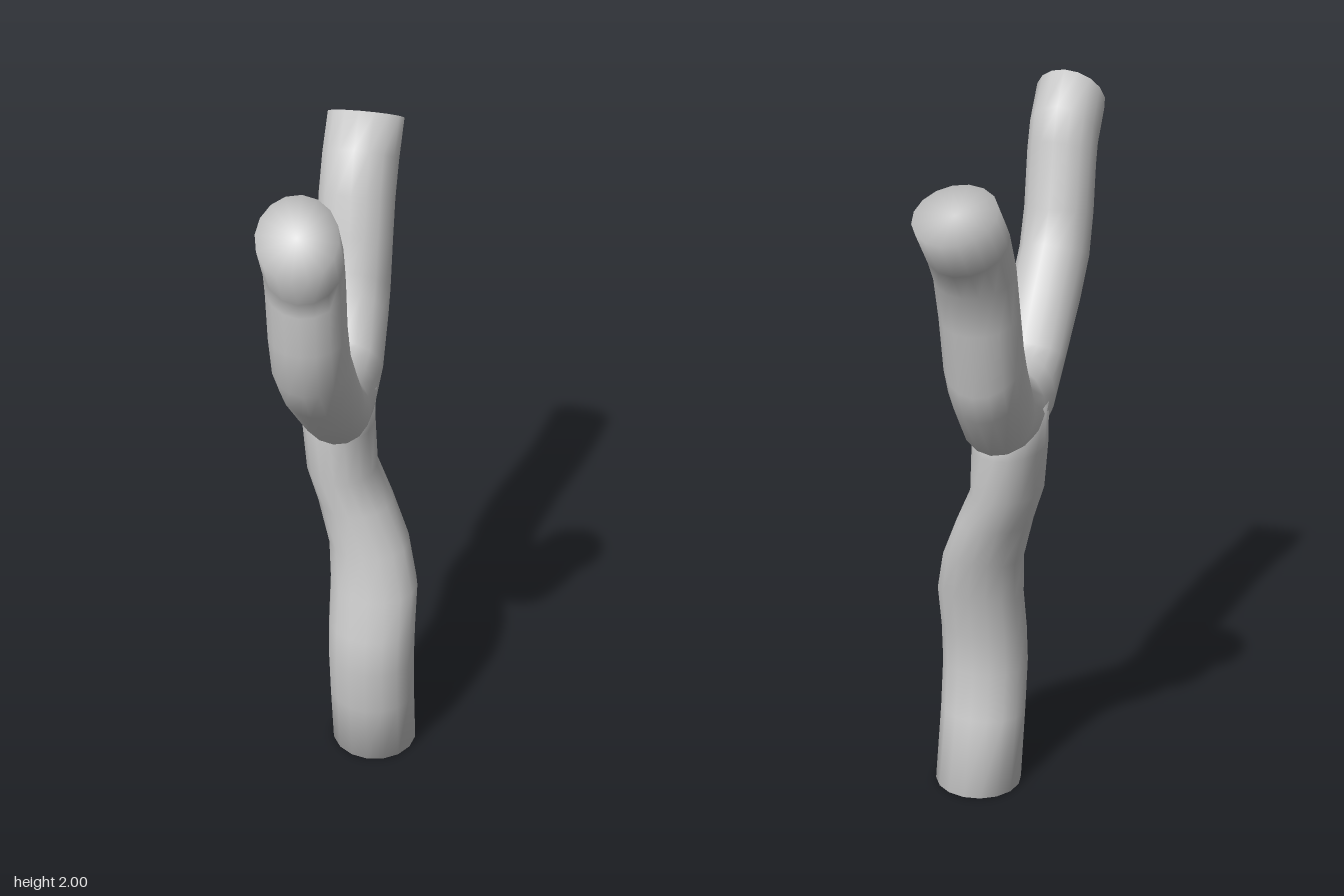
import * as THREE from 'three';

const SIDES = 16;

// Closed smooth limb swept through elliptical rings.
// Each ring: [z, y of one edge, z, y of the opposite edge, centre x, half width in x]
function limb(name, rings, material) {
  const pos = [], index = [];
  for (const [z0, y0, z1, y1, xc, rx] of rings) {
    for (let j = 0; j < SIDES; j++) {
      const a = (j / SIDES) * Math.PI * 2, c = Math.cos(a) / 2;
      pos.push(xc + Math.sin(a) * rx, (y0 + y1) / 2 + c * (y0 - y1), (z0 + z1) / 2 + c * (z0 - z1));
    }
  }
  const last = (rings.length - 1) * SIDES;
  const startCentre = pos.length / 3, endCentre = startCentre + 1;
  for (const [z0, y0, z1, y1, xc] of [rings[0], rings[rings.length - 1]]) {
    pos.push(xc, (y0 + y1) / 2, (z0 + z1) / 2);
  }
  for (let j = 0; j < SIDES; j++) {
    const k = (j + 1) % SIDES;
    for (let r = 0; r < last; r += SIDES) {
      index.push(r + j, r + k, r + SIDES + k, r + j, r + SIDES + k, r + SIDES + j);
    }
    index.push(startCentre, k, j, endCentre, last + j, last + k);
  }
  const geo = new THREE.BufferGeometry();
  geo.setAttribute('position', new THREE.Float32BufferAttribute(pos, 3));
  geo.setIndex(index);
  geo.computeVertexNormals();
  const mesh = new THREE.Mesh(geo, material);
  mesh.name = name;
  return mesh;
}

export function createModel() {
  const group = new THREE.Group();
  group.name = 'forkedBranch';
  const material = new THREE.MeshStandardMaterial({ color: 0xcccccc });

  // Trunk: leans and bends up to the fork (front edge, back edge)
  group.add(limb('trunk', [
    [0.125, 0, -0.12, 0, 0.045, 0.125],
    [0.152, 0.21, -0.065, 0.22, 0.045, 0.125],
    [0.17, 0.36, -0.045, 0.36, 0.045, 0.125],
    [0.155, 0.47, -0.05, 0.48, 0.045, 0.125],
    [0.125, 0.59, -0.075, 0.61, 0.045, 0.125],
    [0.095, 0.72, -0.105, 0.73, 0.025, 0.115],
    [0.083, 0.85, -0.138, 0.85, -0.018, 0.105],
    [0.08, 0.95, -0.157, 0.95, -0.057, 0.098],
    [0.083, 1.09, -0.18, 1.08, -0.068, 0.099],
    [0.075, 1.2, -0.165, 1.2, -0.066, 0.102],
  ], material));

  // Fork: front arm, saddle and back arm in one sweep (upper edge, lower edge)
  group.add(limb('forkArms', [
    [0.425, 2.0, 0.545, 1.84, -0.052, 0.098],
    [0.365, 1.91, 0.492, 1.75, -0.052, 0.098],
    [0.335, 1.82, 0.486, 1.71, -0.052, 0.098],
    [0.305, 1.64, 0.478, 1.6, -0.052, 0.098],
    [0.265, 1.55, 0.45, 1.47, -0.052, 0.098],
    [0.19, 1.45, 0.37, 1.36, -0.052, 0.098],
    [0.1, 1.32, 0.225, 1.225, -0.053, 0.098],
    [0.05, 1.305, 0.085, 1.09, -0.057, 0.099],
    [-0.03, 1.3, -0.05, 1.06, -0.064, 0.102],
    [-0.1, 1.3, -0.2, 1.105, -0.069, 0.104],
    [-0.155, 1.42, -0.3, 1.23, -0.07, 0.105],
    [-0.175, 1.47, -0.335, 1.31, -0.07, 0.105],
    [-0.205, 1.56, -0.365, 1.48, -0.07, 0.105],
    [-0.23, 1.67, -0.4, 1.59, -0.07, 0.105],
    [-0.275, 1.78, -0.46, 1.66, -0.07, 0.105],
    [-0.35, 1.86, -0.54, 1.755, -0.07, 0.105],
  ], material));

  return group;
}
